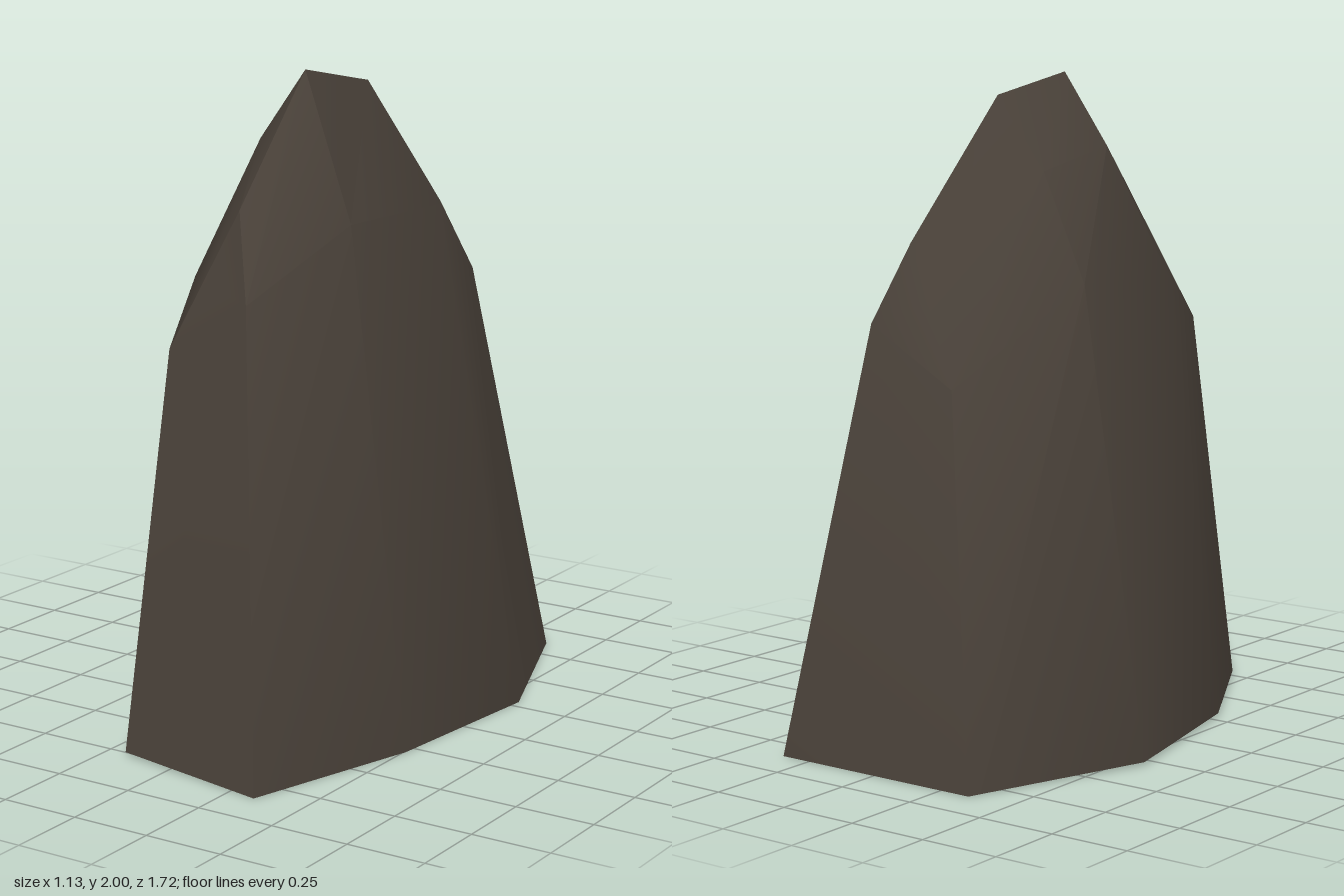
import * as THREE from 'three';
import { toCreasedNormals } from 'three/addons/utils/BufferGeometryUtils.js';

// Cross-sections from back to front; each runs from the right foot (-x)
// over shoulder, slope, ridge and shoulder to the left foot (+x).
const sections = [
  [[-0.35, 0, -0.86], [-0.13, 1.12, -0.65], [0.02, 1.36, -0.57], [0.125, 1.52, -0.52], [0.17, 1.29, -0.65], [0.35, 0, -0.86]],
  [[-0.57, 0.01, -0.3], [-0.305, 1.4, -0.24], [-0.11, 1.72, -0.18], [0.085, 1.94, -0.15], [0.305, 1.57, -0.22], [0.565, 0, -0.29]],
  [[-0.44, 0.01, 0.29], [-0.28, 1.36, 0.25], [-0.12, 1.78, 0.13], [0.055, 2, 0.15], [0.28, 1.57, 0.25], [0.505, 0, 0.29]],
  [[-0.18, 0.01, 0.77], [-0.14, 1.21, 0.58], [-0.055, 1.415, 0.52], [0.03, 1.62, 0.46], [0.14, 1.37, 0.59], [0.34, 0, 0.855]],
];

function buildRock() {
  const pos = [];
  const tri = (a, b, c) => pos.push(...a, ...b, ...c);

  // Skin between neighbouring sections
  for (let s = 0; s < sections.length - 1; s++) {
    const p = sections[s], q = sections[s + 1];
    for (let i = 0; i < p.length - 1; i++) {
      tri(p[i], q[i], q[i + 1]);
      tri(p[i], q[i + 1], p[i + 1]);
    }
  }

  // End faces: a strip of rungs between both flanks
  const cap = (c, front) => {
    const t = front ? tri : (x, y, z) => tri(x, z, y);
    t(c[0], c[5], c[4]);
    t(c[0], c[4], c[1]);
    t(c[1], c[4], c[2]);
    t(c[2], c[4], c[3]);
  };
  cap(sections[0], false);
  cap(sections[3], true);

  const geo = new THREE.BufferGeometry();
  geo.setAttribute('position', new THREE.Float32BufferAttribute(pos, 3));
  return toCreasedNormals(geo, 0.6);
}

export function createModel() {
  const group = new THREE.Group();
  group.name = 'rock';

  // The shell is open underneath, so it shows from both sides
  const stone = new THREE.MeshStandardMaterial({ color: 0x484038, side: THREE.DoubleSide });
  stone.name = 'dark stone';

  const shell = new THREE.Mesh(buildRock(), stone);
  shell.name = 'rockShell';
  group.add(shell);
  return group;
}
